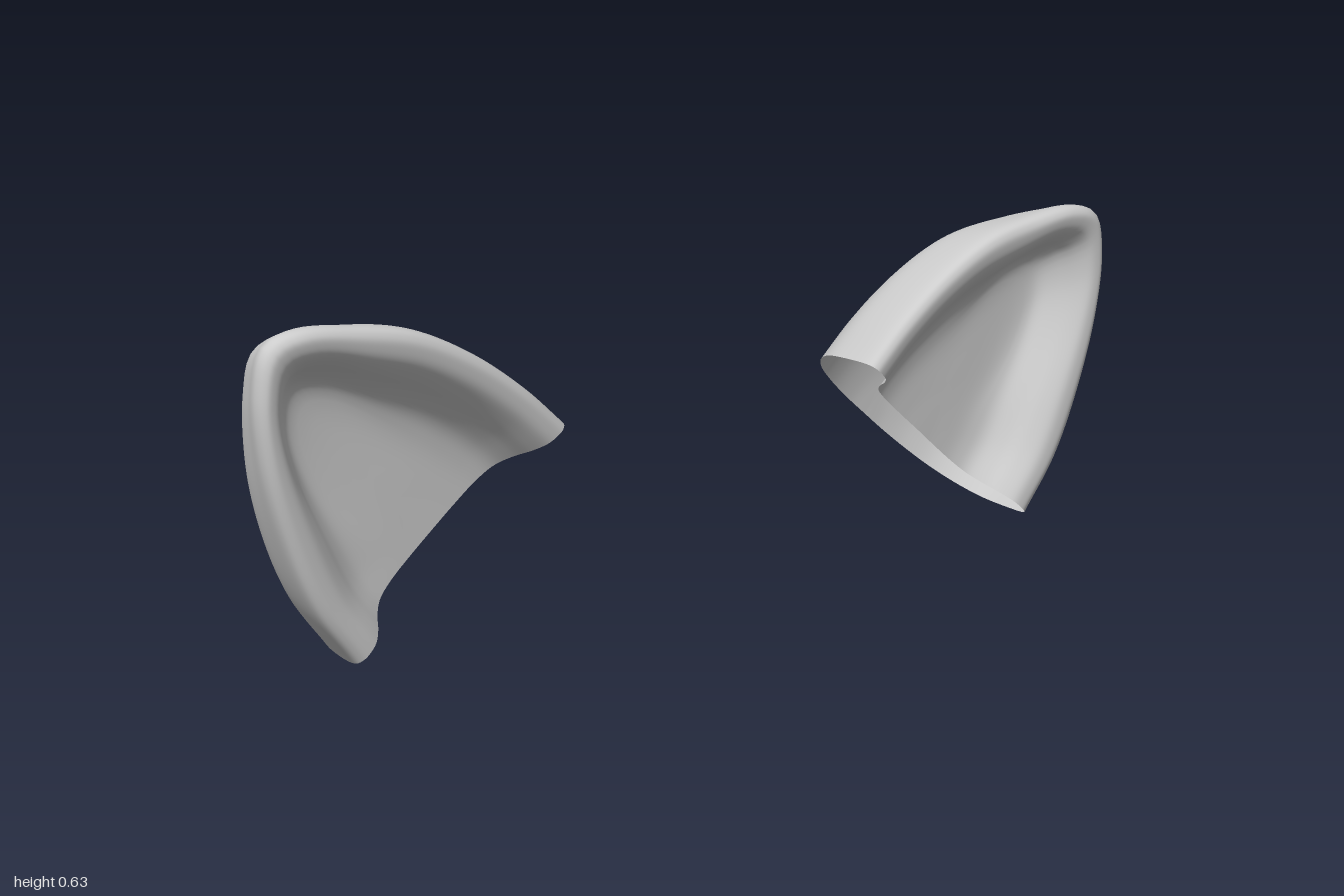
import * as THREE from 'three';

// Base midpoint of the left ear; every ring shrinks toward it
const CX = 0.5875, CY = 0.195;
const RIM = 0.13, BACK = -0.145;

const curve = (pts) =>
  new THREE.CatmullRomCurve3(pts.map(([a, b]) => new THREE.Vector3(a, b, 0)), false, 'centripetal');

// Rim outline seen from the front: inner corner, tip, outer corner
const outline = curve([
  [0.365, 0.385], [0.45, 0.463], [0.56, 0.542], [0.68, 0.6], [0.8, 0.624], [0.92, 0.633],
  [0.98, 0.61], [1.0, 0.53], [0.99, 0.4], [0.95, 0.25], [0.89, 0.11], [0.81, 0.0],
]);

// Rounded lip and hollow, [scale, z]; a smaller width factor narrows the lip
const dish = (width) => [
  [1, 0.102], [0.99, 0.118], [0.95, 0.129], [0.89, 0.13], [0.82, 0.123],
  [0.74, 0.1], [0.66, 0.068], [0.56, 0.04], [0.42, 0.027],
].map(([s, z]) => [1 - (1 - s) * width, z]).concat([[0.2, 0.023], [0, 0.023]]);

// Profiles [scale, z] from the back centre out to the rim, then into the hollow
const sideProfile = curve([
  [0, -0.145], [0.2, -0.143], [0.45, -0.13], [0.7, -0.1], [0.88, -0.05], [0.965, 0], [0.995, 0.06], ...dish(1),
]);
const tipProfile = curve([
  [0, -0.145], [0.27, -0.143], [0.6, -0.13], [0.72, -0.1], [0.83, -0.05], [0.91, 0], [0.965, 0.06], ...dish(0.52),
]);

function earGeometry(nt = 72, np = 96) {
  const pos = [], index = [];
  for (let i = 0; i <= nt; i++) {
    const t = i / nt;
    const o = outline.getPointAt(t);
    const dx = o.x - CX, dy = o.y - CY;
    // Blend to the tip profile around the tip
    const w = Math.exp(-(((t - 0.55) / 0.18) ** 2));
    for (let j = 0; j <= np; j++) {
      const p = sideProfile.getPoint(j / np).lerp(tipProfile.getPoint(j / np), w);
      // The rim leans forward toward the inner corner
      const along = p.x * (dx * 0.76 - dy * 0.65);
      const lean = -0.046 * along * (p.y - BACK) / (RIM - BACK);
      pos.push(CX + dx * p.x, CY + dy * p.x, p.y + lean);
      if (i < nt && j < np) {
        const a = i * (np + 1) + j, b = a + np + 1;
        index.push(a, a + 1, b, b, a + 1, b + 1);
      }
    }
  }
  const g = new THREE.BufferGeometry();
  g.setAttribute('position', new THREE.Float32BufferAttribute(pos, 3));
  g.setIndex(index);
  g.computeVertexNormals();
  return g;
}

export function createModel() {
  const group = new THREE.Group();
  group.name = 'ears';
  const material = new THREE.MeshStandardMaterial({ color: 0xcccccc, side: THREE.DoubleSide });
  const geometry = earGeometry();

  // Mirrored pair of cupped ears, open at the base
  for (const [name, side] of [['leftEar', 1], ['rightEar', -1]]) {
    const ear = new THREE.Mesh(geometry, material);
    ear.name = name;
    ear.scale.x = side;
    group.add(ear);
  }
  return group;
}
